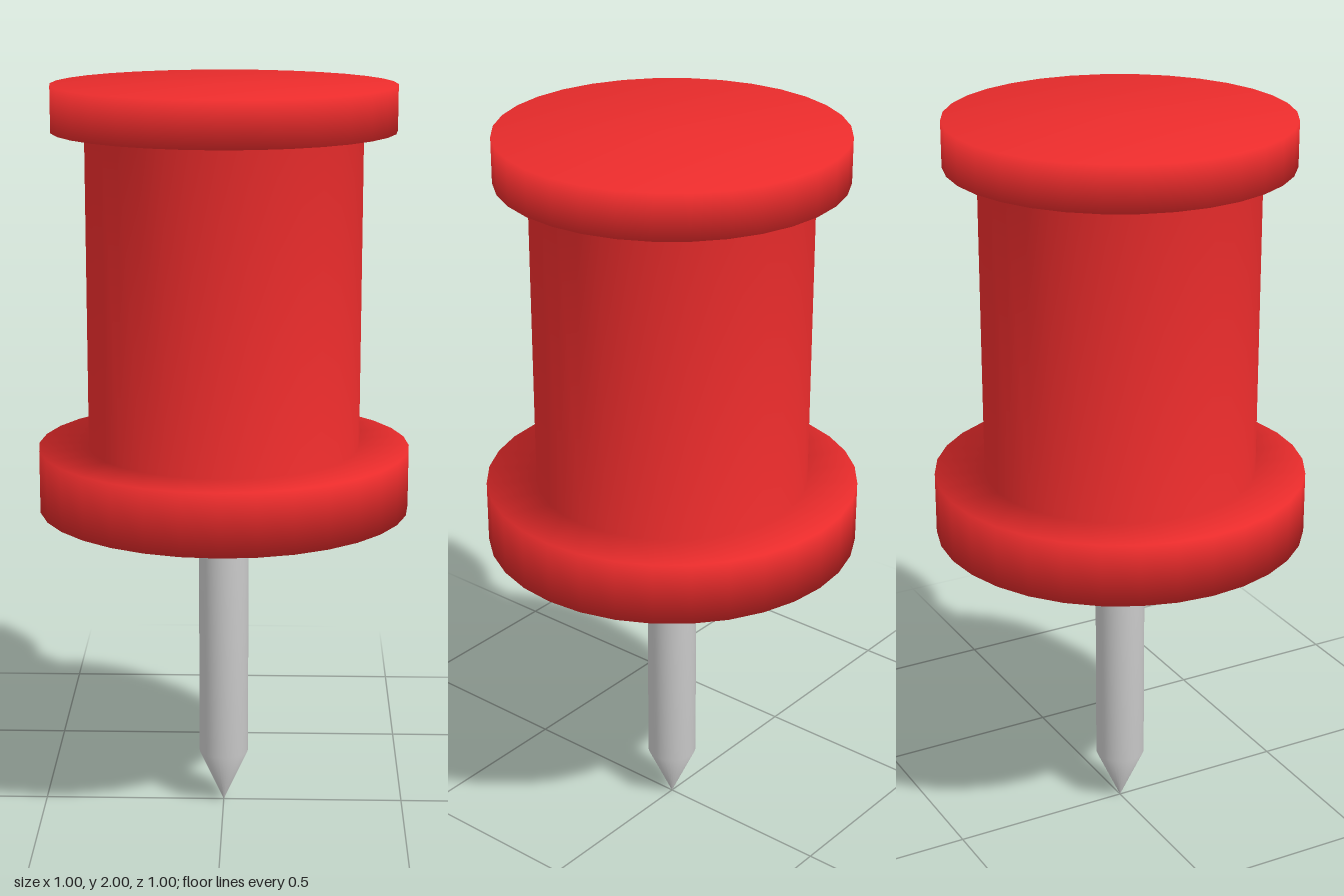
import * as THREE from 'three';

const SEGMENTS = 32;

// Turned part from [radius, height] pairs, listed bottom to top
function turned(name, profile, color) {
  const points = profile.map(([r, y]) => new THREE.Vector2(r, y));
  const mesh = new THREE.Mesh(
    new THREE.LatheGeometry(points, SEGMENTS),
    new THREE.MeshStandardMaterial({ color })
  );
  mesh.name = name;
  return mesh;
}

export function createModel() {
  const group = new THREE.Group();
  group.name = 'pushPin';

  // Plastic handle: wide collar, straight grip and smaller top cap
  group.add(turned('handle', [
    [0, 0.865], [0.5, 0.865], [0.5, 1.035],
    [0.366, 1.035], [0.366, 1.88],
    [0.454, 1.88], [0.454, 2], [0, 2],
  ], 0xec2c2c));

  // Steel needle with a conical point, set into the collar
  group.add(turned('needle', [
    [0, 0], [0.068, 0.15], [0.068, 0.88],
  ], 0xcccccc));

  return group;
}
